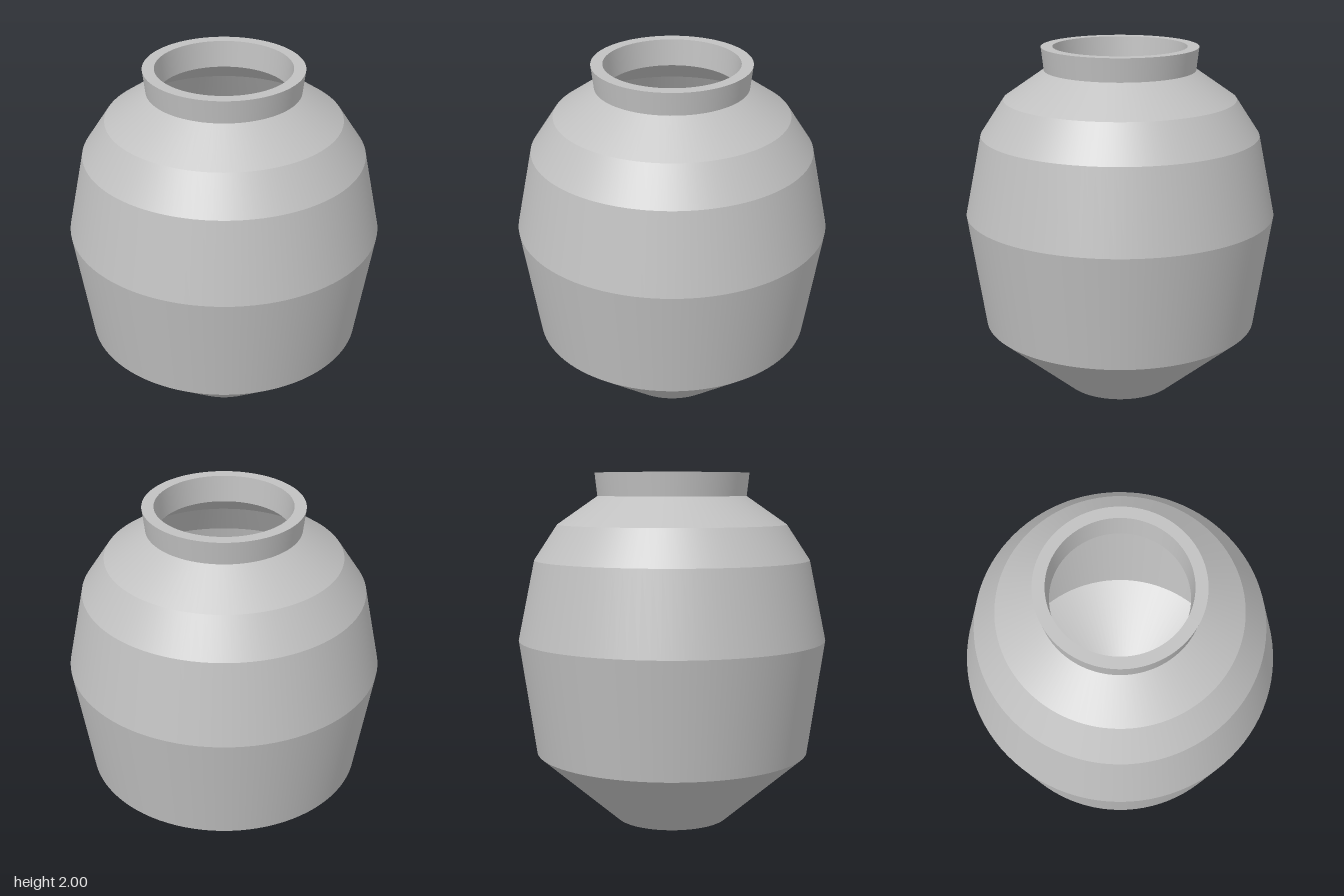
import * as THREE from 'three';

export function createModel() {
  const group = new THREE.Group();
  const clay = new THREE.MeshStandardMaterial({ color: 0xc0c0c0, side: THREE.DoubleSide });
  clay.name = 'grey clay';

  // Each band is its own lathe: smooth around, with a crease between bands
  function bands(name, profile) {
    const part = new THREE.Group();
    part.name = name;
    for (let i = 0; i < profile.length - 1; i++) {
      const pts = [profile[i], profile[i + 1]].map(([r, y]) => new THREE.Vector2(r, y));
      const mesh = new THREE.Mesh(new THREE.LatheGeometry(pts, 96), clay);
      mesh.name = `${name}Band${i + 1}`;
      part.add(mesh);
    }
    group.add(part);
  }

  // Outer wall, from the open foot up to the shoulder
  bands('body', [[0.327, 0], [0.787, 0.4], [0.882, 1.055], [0.787, 1.51], [0.655, 1.71], [0.425, 1.87]]);

  // Flared neck and flat lip
  bands('neck', [[0.425, 1.87], [0.44, 2]]);
  bands('lip', [[0.44, 2], [0.375, 2]]);

  // Inner wall, from the lip down to the drain hole, set above the open foot
  bands('lining', [[0.375, 2], [0.362, 1.85], [0.6, 1.69], [0.722, 1.5],
    [0.817, 1.055], [0.725, 0.43], [0.265, 0.1]]);

  return group;
}
